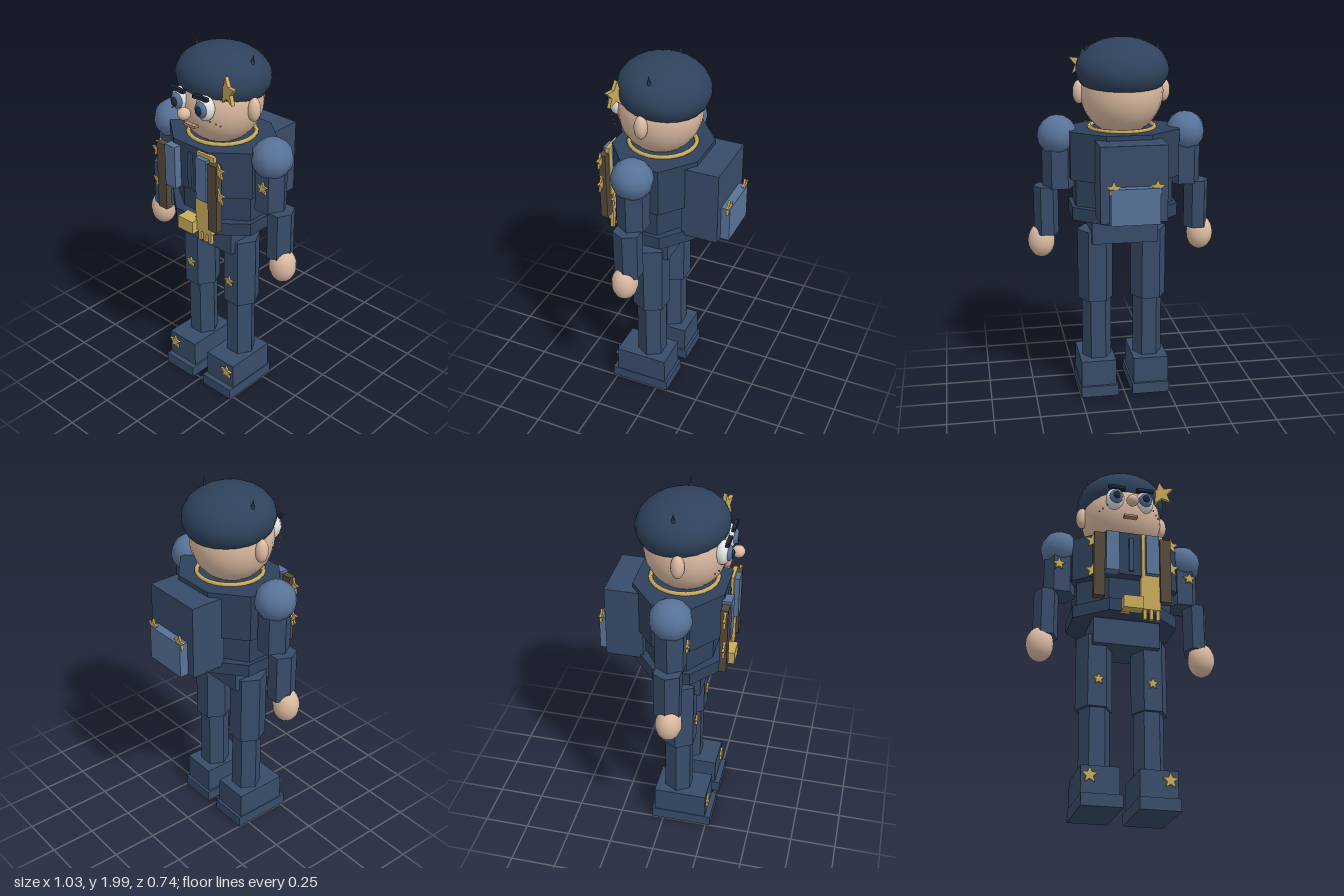
import * as THREE from 'three';

const mat = (name, color) => Object.assign(new THREE.MeshStandardMaterial({ color }), { name });
const M = {
  navy: mat('navy', 0x384c69),
  jacket: mat('dark navy', 0x2f425c),
  blue: mat('light blue', 0x587399),
  gold: mat('gold', 0xcbab5c),
  brown: mat('brown', 0x55493b),
  skin: mat('skin', 0xdcbba2),
  white: mat('eye white', 0xe6e6e6),
  pupil: mat('pupil', 0x1d2838),
  mouth: mat('mouth', 0xb58670),
};
M.jacket.side = THREE.DoubleSide;

export function createModel() {
  const model = new THREE.Group();
  model.name = 'figure';

  const add = (name, geo, m, x, y, z) => {
    const mesh = new THREE.Mesh(geo, m);
    mesh.name = name;
    mesh.position.set(x, y, z);
    model.add(mesh);
    return mesh;
  };
  // box given by its extents
  const box = (name, m, x0, x1, y0, y1, z0, z1) =>
    add(name, new THREE.BoxGeometry(x1 - x0, y1 - y0, z1 - z0), m, (x0 + x1) / 2, (y0 + y1) / 2, (z0 + z1) / 2);
  // faceted prism with a flat face to the front
  const prism = (name, m, sides, rx, rz, x, y0, y1, z) => {
    const geo = new THREE.CylinderGeometry(1, 1, y1 - y0, sides).rotateY(Math.PI / sides).scale(rx, 1, rz).toNonIndexed();
    geo.computeVertexNormals();
    return add(name, geo, m, x, (y0 + y1) / 2, z);
  };
  const ball = (name, m, rx, ry, rz, x, y, z, w = 20, h = 14) =>
    add(name, new THREE.SphereGeometry(1, w, h).scale(rx, ry, rz), m, x, y, z);
  const star = (name, r, x, y, z, depth = 0.012) => {
    const shape = new THREE.Shape();
    for (let i = 0; i < 10; i++) {
      const a = Math.PI / 2 + (i * Math.PI) / 5, q = i % 2 ? r * 0.45 : r;
      shape[i ? 'lineTo' : 'moveTo'](q * Math.cos(a), q * Math.sin(a));
    }
    shape.closePath();
    const geo = new THREE.ExtrudeGeometry(shape, { depth, bevelEnabled: false }).translate(0, 0, -depth / 2);
    return add(name, geo, M.gold, x, y, z);
  };

  // Head
  ball('head', M.skin, 0.222, 0.235, 0.22, 0, 1.71, 0.07, 24, 18);
  ball('nose', M.skin, 0.034, 0.032, 0.034, 0, 1.7, 0.333);
  box('mouth', M.mouth, -0.037, 0.037, 1.618, 1.631, 0.272, 0.3);

  // Cap, tipped back, with a star
  const cap = add('cap', new THREE.SphereGeometry(1, 24, 14, 0, Math.PI * 2, 0, Math.PI * 0.65).scale(0.247, 0.163, 0.24),
    M.jacket, 0, 1.827, 0.05);
  cap.rotation.x = -0.1;
  const capStar = star('capStar', 0.075, 0.193, 1.838, 0.227, 0.02);
  capStar.rotation.set(0, -0.27, 0.12);

  // Torso, widening at the shoulders and the hem
  const k = 1 / Math.cos(Math.PI / 8);
  prism('jacketBody', M.jacket, 8, 0.262 * k, 0.185 * k, 0, 1.1, 1.35, 0.055);
  prism('jacketCape', M.jacket, 8, 0.292 * k, 0.238 * k, 0, 1.26, 1.515, 0.055);
  prism('jacketHem', M.jacket, 8, 0.284 * k, 0.238 * k, 0, 1.04, 1.11, 0.055);
  add('neckTrim', new THREE.TorusGeometry(0.175, 0.012, 6, 24).rotateX(Math.PI / 2), M.gold, 0, 1.52, 0.06);
  box('hips', M.navy, -0.18, 0.18, 0.895, 1.05, -0.045, 0.19);

  // Jacket front details
  box('jacketFastening', M.navy, -0.013, 0.013, 1.28, 1.475, 0.28, 0.305);
  box('beltBuckle', M.gold, -0.053, 0.053, 1.04, 1.11, 0.27, 0.345);
  box('scarf', M.gold, 0.055, 0.172, 1.22, 1.507, 0.285, 0.308);
  box('scarfEnd', M.gold, 0.047, 0.155, 1.055, 1.24, 0.285, 0.312);
  for (const x of [0.07, 0.105, 0.14])
    box('scarfFringe', M.gold, x - 0.01, x + 0.01, 1.0, 1.06, 0.288, 0.308);

  // Backpack
  box('backpack', M.navy, -0.175, 0.175, 1.09, 1.49, -0.32, -0.12);
  box('backpackPocket', M.blue, -0.128, 0.128, 1.09, 1.28, -0.368, -0.31);

  for (const s of [-1, 1]) {
    // Face
    ball('ear', M.skin, 0.034, 0.063, 0.035, s * 0.228, 1.707, 0.075);
    ball('eyeWhite', M.white, 0.052, 0.066, 0.042, s * 0.083, 1.735, 0.268);
    ball('iris', M.blue, 0.037, 0.043, 0.025, s * 0.083, 1.735, 0.297);
    ball('pupil', M.pupil, 0.02, 0.024, 0.014, s * 0.083, 1.735, 0.316);
    const brow = box('eyebrow', M.pupil, s * 0.08 - 0.048, s * 0.08 + 0.048, 1.787, 1.805, 0.287, 0.307);
    brow.rotation.z = s * 0.04;
    for (const [x, y] of [[0.13, 1.682], [0.15, 1.668], [0.166, 1.657]])
      ball('freckle', M.mouth, 0.005, 0.005, 0.005, s * x, y, 0.285 - (x - 0.13), 8, 6);

    // Small cap horns
    const horn = add('capHorn', new THREE.ConeGeometry(0.018, 0.08, 6), M.jacket, s * 0.188, 1.938, 0.045);
    horn.rotation.z = -s * 0.18;

    // Arms
    ball('shoulderPad', M.blue, 0.107, 0.108, 0.11, s * 0.348, 1.482, 0.07, 12, 8);
    prism('upperArm', M.navy, 6, 0.088, 0.084, s * 0.344, 1.2, 1.48, 0.07);
    prism('forearm', M.navy, 6, 0.067, 0.078, s * 0.415, 0.945, 1.21, 0.07);
    ball('hand', M.skin, 0.074, 0.096, 0.07, s * 0.443, 0.9, 0.08, 16, 12);
    star('armStar', 0.036, s * 0.365, 1.352, 0.16);

    // Legs and boots
    prism('thigh', M.navy, 6, 0.098, 0.102, s * 0.149, 0.555, 0.955, 0.07);
    prism('shin', M.navy, 6, 0.082, 0.082, s * 0.144, 0.2, 0.56, 0.07);
    box('boot', M.navy, s * 0.148 - 0.098, s * 0.148 + 0.098, 0.06, 0.21, -0.05, 0.245);
    box('bootSole', M.navy, s * 0.145 - 0.105, s * 0.145 + 0.105, 0, 0.063, -0.065, 0.275);
    star('thighStar', 0.032, s * 0.144, 0.7, 0.168);
    star('bootStar', 0.042, s * 0.203, 0.158, 0.253);

    // Chest panels, straps and stars
    box('chestPanel', M.blue, s * 0.109 - 0.036, s * 0.109 + 0.036, 1.257, 1.49, 0.285, 0.335);
    box('strap', M.brown, s * 0.18 - 0.03, s * 0.18 + 0.03, 1.1, 1.478, 0.29, 0.329);
    for (const y of s < 0 ? [1.425, 1.245] : [1.45, 1.31])
      star('chestStar', 0.045, s * 0.213, y, 0.315);
    star('pocketStar', 0.042, s * 0.112, 1.283, -0.357);
  }
  return model;
}
